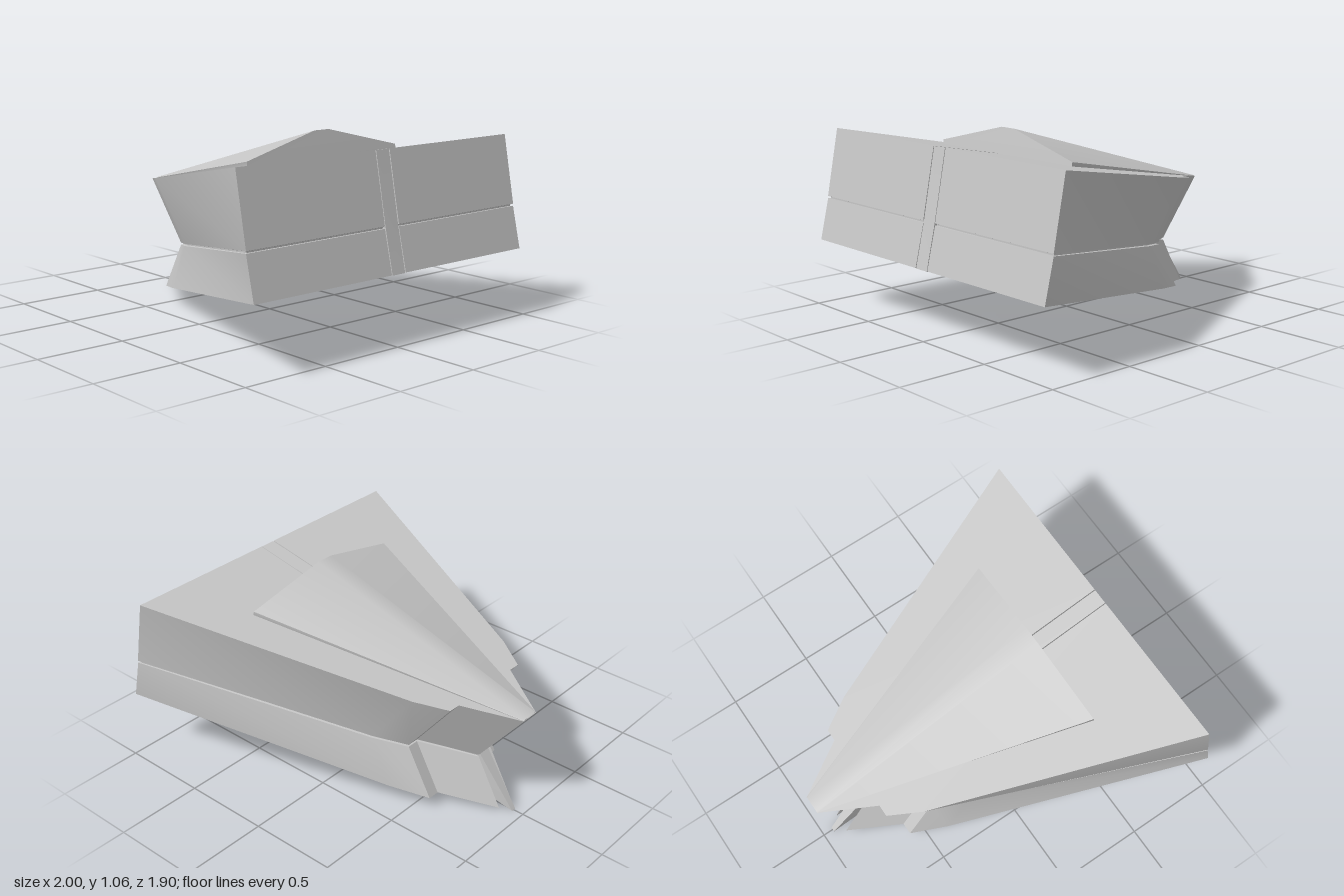
import * as THREE from 'three';
import { toCreasedNormals } from 'three/addons/utils/BufferGeometryUtils.js';

const SLOPE = 0.1955; // pitch of all the deck planes

// Skin a list of equal-length rings and cap both ends with fans.
function loft(rings) {
  const n = rings[0].length, last = (rings.length - 1) * n, index = [];
  for (let r = 0; r < rings.length - 1; r++) {
    for (let i = 0; i < n; i++) {
      const j = (i + 1) % n, a = r * n + i, b = r * n + j;
      index.push(a, a + n, b + n, a, b + n, b);
    }
  }
  for (let i = 1; i < n - 1; i++) {
    index.push(0, i, i + 1, last, last + i + 1, last + i);
  }
  const g = new THREE.BufferGeometry();
  g.setAttribute('position', new THREE.Float32BufferAttribute(rings.flat(2), 3));
  g.setIndex(index);
  return toCreasedNormals(g, 0.5);
}

// Lift plan points [x, z] onto a pitched plane of height h at x = 0.
const onPlane = (h, pts) => pts.map(([x, z]) => [x, h + SLOPE * x, z]);

// Plan outline of one hull half; inset shrinks it for the seam groove.
function hullRing(h, nose, step, corner, back, inset = 0) {
  return onPlane(h, [
    [back - inset, 0.05],
    [nose + inset, 0.053],
    [step + inset, 0.222 - inset],
    [step + inset, 0.29 - inset],
    [corner + inset, 0.39 - inset],
    [back - inset, 0.948 - inset],
  ]);
}

const mirrorRing = ([first, ...rest]) =>
  [first, ...rest.reverse()].map(([x, y, z]) => [x, y, -z]);

export function createModel() {
  const group = new THREE.Group();
  const grey = new THREE.MeshStandardMaterial({ color: 0xc6c6c6 });
  grey.name = 'hullGrey';
  const add = (name, rings) => {
    const mesh = new THREE.Mesh(loft(rings), grey);
    mesh.name = name;
    group.add(mesh);
  };

  // Hull halves: upper tier, narrow seam groove, lower tier
  const mid = [-0.73, -0.44, -0.27, 0.945];
  const hull = [
    hullRing(0.8305, -1, -0.71, -0.54, 0.87),
    hullRing(0.439, ...mid),
    hullRing(0.437, ...mid, 0.012),
    hullRing(0.429, ...mid, 0.012),
    hullRing(0.427, ...mid),
    hullRing(0.187, -0.88, -0.59, -0.385, 1.0),
  ];
  add('leftHull', hull);
  add('rightHull', hull.map(mirrorRing));

  // Centre keel between the halves, narrowing to a blade at the lower nose
  const keelRing = (h, nose, back, noseHalf) => onPlane(h, [
    [nose, -noseHalf], [nose, noseHalf], [back, 0.045], [back, -0.045],
  ]);
  add('keel', [
    keelRing(0.8295, -0.995, 0.87, 0.045),
    keelRing(0.433, -0.725, 0.945, 0.036),
    keelRing(0.185, -0.94, 1.0, 0.014),
  ]);

  // Raised wedge on the upper deck
  add('upperWedge', [
    [
      [0.45, 0.912, 0.53], [0.45, 0.912, -0.53], [0.445, 0.94, -0.53],
      [0.42, 1.057, -0.05], [0.42, 1.057, 0.05], [0.445, 0.94, 0.53],
    ],
    [
      [-0.985, 0.625, 0.05], [-0.985, 0.625, -0.05], [-1, 0.637, -0.053],
      [-1, 0.641, -0.045], [-1, 0.641, 0.045], [-1, 0.637, 0.053],
    ],
  ]);

  return group;
}
